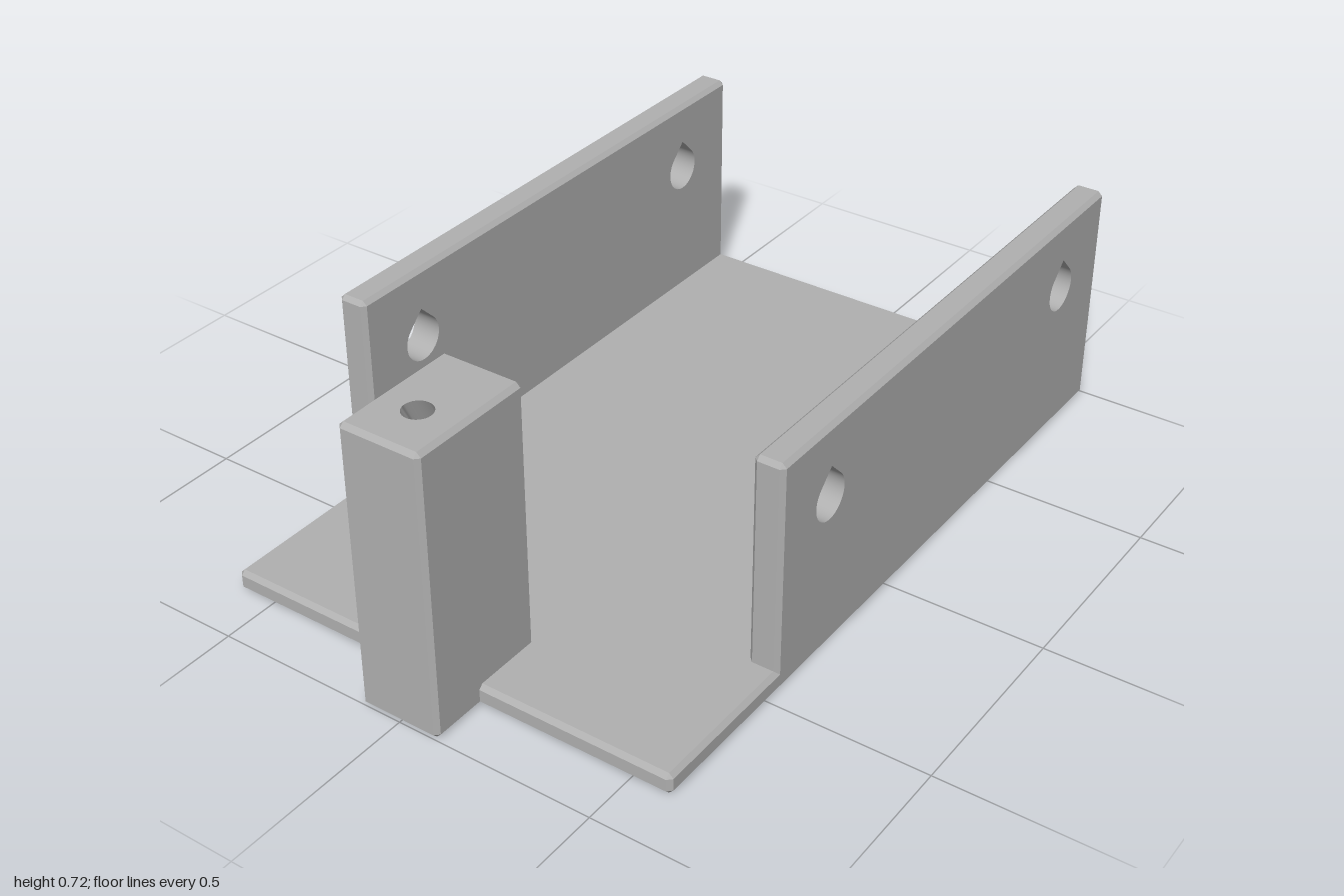
import * as THREE from 'three';
import { mergeGeometries } from 'three/addons/utils/BufferGeometryUtils.js';

const CHAMFER = 0.011;

// Box centred on the origin with every edge chamfered.
// holes maps a face such as '0+' (axis and sign) to loops of [u, v] points cut out of it.
function chamferedBox(size, holes = {}) {
  const h = size.map((s) => s / 2);
  const inner = h.map((v) => v - CHAMFER);
  const parts = [];
  const edges = [];

  // Add a triangle so that it faces away from the centre
  const tri = (a, b, c) => {
    const [A, B, C] = [a, b, c].map((p) => new THREE.Vector3(...p));
    const n = B.clone().sub(A).cross(C.clone().sub(A));
    edges.push(...a, ...(n.dot(A) < 0 ? [...c, ...b] : [...b, ...c]));
  };
  const point = (a, pa, u, pu, v, pv) => {
    const p = [0, 0, 0];
    p[a] = pa; p[u] = pu; p[v] = pv;
    return p;
  };

  for (let a = 0; a < 3; a++) {
    const u = (a + 1) % 3, v = (a + 2) % 3;
    // Two flat faces across this axis
    for (const s of [1, -1]) {
      const rect = [[-1, -1], [1, -1], [1, 1], [-1, 1]];
      const shape = new THREE.Shape(rect.map(([i, j]) => new THREE.Vector2(i * inner[u], j * inner[v])));
      for (const loop of holes[a + (s > 0 ? '+' : '-')] || []) {
        shape.holes.push(new THREE.Path(loop.map(([x, y]) => new THREE.Vector2(x, y))));
      }
      const flat = new THREE.ShapeGeometry(shape).toNonIndexed();
      const pos = flat.attributes.position;
      const out = [];
      for (let i = 0; i < pos.count; i += 3) {
        for (const k of s > 0 ? [0, 1, 2] : [0, 2, 1]) {
          out.push(...point(a, s * h[a], u, pos.getX(i + k), v, pos.getY(i + k)));
        }
      }
      parts.push(out);
    }
    // Four chamfer strips along this axis
    for (const su of [1, -1]) for (const sv of [1, -1]) {
      const ends = [1, -1].map((s) => [
        point(a, s * inner[a], u, su * h[u], v, sv * inner[v]),
        point(a, s * inner[a], u, su * inner[u], v, sv * h[v]),
      ]);
      tri(ends[0][0], ends[0][1], ends[1][1]);
      tri(ends[0][0], ends[1][1], ends[1][0]);
    }
  }
  // Corner triangles
  for (const x of [1, -1]) for (const y of [1, -1]) for (const z of [1, -1]) {
    tri([x * h[0], y * inner[1], z * inner[2]],
      [x * inner[0], y * h[1], z * inner[2]],
      [x * inner[0], y * inner[1], z * h[2]]);
  }

  return mergeGeometries([...parts, edges].map((array) => {
    const g = new THREE.BufferGeometry();
    g.setAttribute('position', new THREE.Float32BufferAttribute(array, 3));
    g.computeVertexNormals();
    return g;
  }));
}

// Skin joining two loops of equal length
function loft(from, to) {
  const g = new THREE.BufferGeometry();
  g.setAttribute('position', new THREE.Float32BufferAttribute([...from, ...to].flat(), 3));
  const n = from.length, index = [];
  for (let i = 0; i < n - 1; i++) index.push(i, i + 1, n + i, i + 1, n + i + 1, n + i);
  g.setIndex(index);
  g.computeVertexNormals();
  return g;
}

// Closed teardrop loop of [y, z] points, starting and ending at its pointed top
function teardrop(y, z, r) {
  const loop = [[y + r * Math.SQRT2, z]];
  for (let i = 0; i <= 30; i++) {
    const t = Math.PI / 4 + (i / 30) * Math.PI * 1.5;
    loop.push([y + r * Math.cos(t), z + r * Math.sin(t)]);
  }
  return [...loop, loop[0]];
}

export function createModel() {
  const model = new THREE.Group();
  const grey = new THREE.MeshStandardMaterial({ color: 0xb0b0b0 });
  grey.name = 'plain grey';
  grey.side = THREE.DoubleSide;

  const add = (parent, name, geometry, x = 0, y = 0, z = 0) => {
    const mesh = new THREE.Mesh(geometry, grey);
    mesh.name = name;
    mesh.position.set(x, y, z);
    parent.add(mesh);
  };

  // Base plate
  add(model, 'basePlate', chamferedBox([1.2, 0.053, 1.86]), 0, 0.0265, -0.07);

  // Side walls, each with two teardrop holes
  const wallSize = [0.076, 0.587, 1.462];
  const drops = [0.54, -0.53].map((z) => teardrop(0.402 - wallSize[1] / 2, z, 0.057));
  const cuts = drops.map((d) => d.slice(0, -1));
  for (const side of [1, -1]) {
    const wall = new THREE.Group();
    wall.name = side > 0 ? 'leftWall' : 'rightWall';
    wall.position.set(side * 0.562, wallSize[1] / 2, -0.269);
    add(wall, 'wallPanel', chamferedBox(wallSize, { '0+': cuts, '0-': cuts }));
    for (const d of drops) {
      add(wall, 'holeLining', loft(...[-1, 1].map((s) => d.map(([y, z]) => [s * wallSize[0] / 2, y, z]))));
    }
    model.add(wall);
  }

  // Front post with a sloping bore from its top to a keyhole in its back
  const postSize = [0.21, 0.72, 0.33];
  const top = [], back = [];
  for (let i = 0; i <= 32; i++) {
    const t = Math.PI / 2 + (i / 32) * Math.PI * 2;
    const c = Math.cos(t), s = Math.sin(t);
    top.push([0.035 * c, postSize[1] / 2, 0.04 - 0.035 * s]);
    back.push([(s > -1e-6 ? 0.06 : 0.02) * c, -0.045 + 0.062 * s, -postSize[2] / 2]);
  }
  const post = new THREE.Group();
  post.name = 'frontPost';
  post.position.set(0, postSize[1] / 2, 0.835);
  add(post, 'postBody', chamferedBox(postSize, {
    '1+': [top.slice(0, -1).map(([x, , z]) => [z, x])],
    '2-': [back.slice(0, -1).map(([x, y]) => [x, y])],
  }));
  add(post, 'postBore', loft(top, back));
  model.add(post);

  return model;
}
